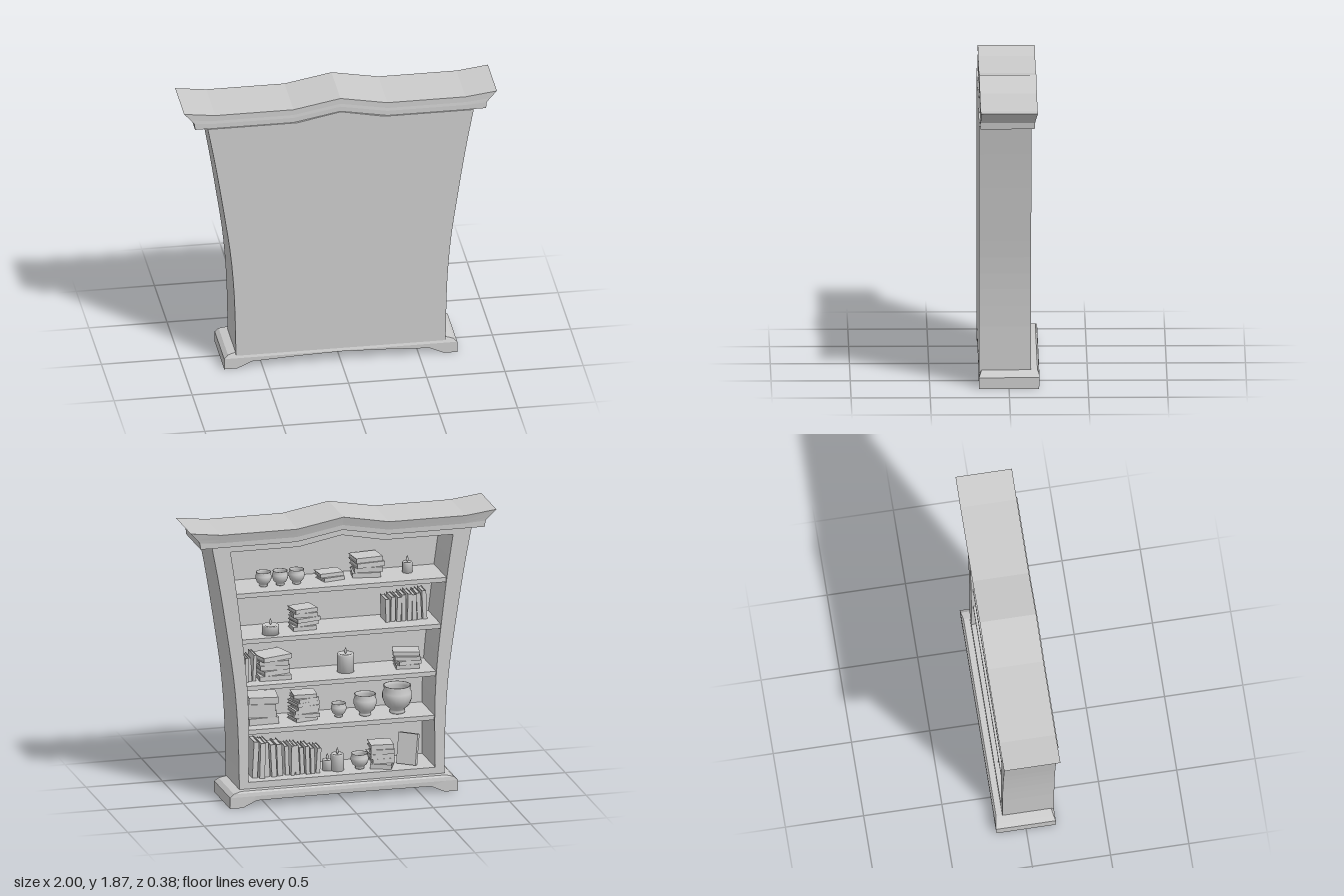
import * as THREE from 'three';

const mat = new THREE.MeshStandardMaterial({ color: 0xcccccc });
const flat = new THREE.MeshStandardMaterial({ color: 0xcccccc, flatShading: true });
const thin = new THREE.MeshStandardMaterial({ color: 0xcccccc, side: THREE.DoubleSide });

let seed = 7;
const rand = () => (seed = (seed * 16807) % 2147483647) / 2147483647;
const jitter = (a) => (rand() * 2 - 1) * a;

function add(parent, name, geometry, material = mat, x = 0, y = 0, z = 0) {
  const m = new THREE.Mesh(geometry, material);
  m.name = name;
  m.position.set(x, y, z);
  parent.add(m);
  return m;
}

function box(parent, name, w, h, d, x, y, z) {
  return add(parent, name, new THREE.BoxGeometry(w, h, d), mat, x, y, z);
}

// Moulding running along x. Each station lists levels from bottom to top:
// [x, y, zBack, zFront, yFront]. Stations are given for x >= 0 and mirrored.
function moulding(half) {
  const mirrored = half.slice().reverse().filter((s) => s[0][0] > 0)
    .map((s) => s.map(([x, ...r]) => [-x, ...r])).reverse();
  const stations = [...mirrored, ...half.slice().reverse()];
  const rings = stations.map((s) => [
    ...s.slice(0, 1).map(([x, y, zb]) => [x, y, zb]),
    ...s.map(([x, y, , zf, yf = y]) => [x, yf, zf]),
    ...s.slice(1).reverse().map(([x, y, zb]) => [x, y, zb]),
  ]);
  rings.sort((a, b) => a[0][0] - b[0][0]);
  const pos = [];
  const quad = (a, b, c, d) => pos.push(...a, ...b, ...c, ...a, ...c, ...d);
  const n = rings[0].length;
  for (let i = 0; i < rings.length - 1; i++) {
    for (let k = 0; k < n; k++) {
      const j = (k + 1) % n;
      quad(rings[i][k], rings[i + 1][k], rings[i + 1][j], rings[i][j]);
    }
  }
  // End caps, one strip per level
  const first = rings[0], last = rings[rings.length - 1];
  for (let l = 0; l < n / 2 - 1; l++) {
    const q = [(n - l) % n, l + 1, l + 2, n - l - 1];
    quad(...q.map((k) => first[k]));
    quad(...q.reverse().map((k) => last[k]));
  }
  const g = new THREE.BufferGeometry();
  g.setAttribute('position', new THREE.Float32BufferAttribute(pos, 3));
  g.computeVertexNormals();
  return g;
}

// Flared side profile of the case
const sideCurve = new THREE.CatmullRomCurve3(
  [[0.67, 0.09], [0.68, 0.5], [0.703, 0.8], [0.745, 1.1], [0.8, 1.45], [0.85, 1.72]]
    .map(([x, y]) => new THREE.Vector3(x, y, 0)));
const side = sideCurve.getPoints(14);
const outerAt = (y) => {
  const i = Math.max(1, side.findIndex((p) => p.y >= y));
  const a = side[i - 1], b = side[i];
  return a.x + (b.x - a.x) * (y - a.y) / (b.y - a.y);
};
const innerAt = (y) => outerAt(y) - 0.055 - 0.035 * y;

// Symmetric outline from right-hand points listed bottom to top
const outline = (pts, peak, Kind) => new Kind([
  ...pts.map(([x, y]) => new THREE.Vector2(x, y)),
  new THREE.Vector2(0.28, pts[pts.length - 1][1]),
  new THREE.Vector2(0, peak),
  new THREE.Vector2(-0.28, pts[pts.length - 1][1]),
  ...pts.slice().reverse().map(([x, y]) => new THREE.Vector2(-x, y)),
]);

// Book with its spine facing -z: thickness t, height h, depth d
function book(t, h, d) {
  const g = new THREE.Group();
  g.name = 'book';
  const c = 0.004;
  for (const s of [-1, 1]) box(g, 'cover', c, h, d, s * (t - c) / 2, h / 2, 0);
  box(g, 'spine', t, h, c, 0, h / 2, -d / 2);
  box(g, 'pages', t - c, h - 0.012, d - 0.01, 0, h / 2, -0.002);
  return g;
}

// Pile of books lying flat
function stack(parent, x, y, z, count, height, w, d, turn = 0) {
  const g = new THREE.Group();
  g.name = 'bookStack';
  g.position.set(x, y, z);
  const t = height / count;
  for (let i = 0; i < count; i++) {
    const h = w * (0.92 + jitter(0.08));
    const b = book(t * 0.96, h, d * (0.94 + jitter(0.06)));
    b.rotation.z = Math.PI / 2;
    b.position.set(h / 2, t / 2, 0);
    const layer = new THREE.Group();
    layer.add(b);
    layer.position.set(jitter(0.008), i * t, jitter(0.008));
    layer.rotation.y = turn + jitter(0.25);
    g.add(layer);
  }
  parent.add(g);
}

// Row of standing books between two x positions
function row(parent, x0, x1, y, z, count, h0, h1, d) {
  const step = (x1 - x0) / count;
  for (let i = 0; i < count; i++) {
    const f = count > 1 ? i / (count - 1) : 0;
    const b = book(Math.abs(step) * 0.8, h0 + (h1 - h0) * f + jitter(0.012), d + jitter(0.012));
    b.position.set(x0 + step * (i + 0.5), y + 0.002, z + jitter(0.012));
    b.rotation.z = jitter(0.06);
    parent.add(b);
  }
}

const lathe = (pts, k, h, seg) => new THREE.LatheGeometry(
  pts.map(([r, y]) => new THREE.Vector2(r * k, y * h)), seg);

function bowl(parent, x, y, z, r, h) {
  const pts = [[0, 0], [0.5, 0], [0.52, 0.08], [0.45, 0.13], [0.8, 0.3], [0.98, 0.55], [0.97, 0.74],
    [0.86, 0.88], [0.92, 1], [0.84, 1], [0.78, 0.88], [0.87, 0.72], [0.85, 0.55], [0.65, 0.33], [0, 0.22]];
  add(parent, 'bowl', lathe(pts, r, h, 20), thin, x, y, z);
}

function candle(parent, x, y, z, r, h) {
  add(parent, 'candle', lathe([[0, 0], [1, 0], [1, 0.92], [0.93, 1], [0.75, 1], [0.6, 0.94], [0, 0.93]], r, h, 16),
    thin, x, y, z);
  add(parent, 'flame', lathe([[0, 0], [0.7, 0.2], [1, 0.4], [0.6, 0.7], [0, 1]], 0.01, 0.045, 8),
    mat, x, y + h * 0.95, z);
}

export function createModel() {
  const model = new THREE.Group();
  model.name = 'bookcase';

  // Case frame, open towards -z, closed by a panel at +z
  const outer = side.map((p) => [p.x, p.y]);
  const frame = outline(outer, 1.775, THREE.Shape);
  const inner = [];
  for (let i = 0; i <= 10; i++) {
    const y = 0.15 + 0.153 * i;
    inner.push([innerAt(y), y]);
  }
  frame.holes.push(outline(inner, 1.735, THREE.Path));
  add(model, 'caseFrame', new THREE.ExtrudeGeometry(frame, { depth: 0.31, bevelEnabled: false }), flat, 0, 0, -0.14);
  add(model, 'backPanel', new THREE.ExtrudeGeometry(outline(outer, 1.775, THREE.Shape),
    { depth: 0.02, bevelEnabled: false }), flat, 0, 0, 0.17);

  // Peaked crown with flared ends
  const crown = [[0.93, 0.935, 0.955, 1, 1.72, 1.835], [0.8, 0.8, 0.8, 0.8, 1.72, 1.81],
    [0.3, 0.3, 0.3, 0.3, 1.72, 1.81], [0, 0, 0, 0, 1.775, 1.865]]
    .map(([a, b, c, d, y0, y1]) => [
      [a, y0, -0.16, 0.182], [b, y0 + (y1 - y0) * 0.36, -0.162, 0.182],
      [c, y0 + (y1 - y0) * 0.58, -0.168, 0.18], [d, y1, -0.18, 0.18]]);
  add(model, 'crown', moulding(crown));

  // Footed base with an arched front edge
  const base = [[0.745, 0.745, 0.72, 0.67, 0], [0.66, 0.66, 0.65, 0.62, 0],
    [0.57, 0.57, 0.57, 0.56, 0.042], [0.28, 0.28, 0.28, 0.28, 0.044, 0.057], [0, 0, 0, 0, 0.045, 0.066]]
    .map(([a, b, c, d, y, yf = y]) => [
      [a, y, -0.19, 0.19, yf], [b, 0.072, -0.193, 0.19],
      [c, 0.095, -0.19, 0.18], [d, 0.107, -0.18, 0.172]]);
  add(model, 'base', moulding(base));

  // Shelves
  const [s1, s2, s3, s4, s5] = [0.15, 0.49, 0.78, 1.09, 1.395];
  for (const y of [s2, s3, s4, s5]) {
    box(model, 'shelf', 2 * (innerAt(y) + 0.02), 0.03, 0.3, 0, y - 0.015, 0.022);
  }

  // Top shelf
  [0.475, 0.366, 0.258].forEach((x) => bowl(model, x, s5, 0, 0.052, 0.095));
  stack(model, 0.03, s5, 0.05, 2, 0.05, 0.17, 0.12, 0.1);
  stack(model, -0.216, s5, 0.07, 4, 0.13, 0.19, 0.14, -0.1);
  candle(model, -0.48, s5, 0.05, 0.032, 0.07);

  // Fourth shelf
  candle(model, 0.44, s4, -0.04, 0.055, 0.06);
  stack(model, 0.21, s4, 0.025, 5, 0.14, 0.17, 0.13, 0.2);
  row(model, -0.32, -0.6, s4, 0.06, 8, 0.16, 0.18, 0.13);

  // Third shelf
  row(model, 0.61, 0.53, s3, 0.03, 3, 0.17, 0.16, 0.13);
  stack(model, 0.41, s3, 0.04, 5, 0.16, 0.21, 0.17, 0.1);
  candle(model, -0.07, s3, 0.027, 0.055, 0.12);
  stack(model, -0.47, s3, 0.03, 4, 0.11, 0.17, 0.13);

  // Second shelf
  stack(model, 0.475, s2, 0.04, 4, 0.18, 0.2, 0.17, -0.1);
  stack(model, 0.206, s2, 0.018, 7, 0.18, 0.17, 0.14, 0.15);
  bowl(model, -0.02, s2, 0.01, 0.05, 0.09);
  bowl(model, -0.19, s2, 0, 0.075, 0.14);
  bowl(model, -0.4, s2, 0, 0.097, 0.18);

  // Bottom shelf
  row(model, 0.57, 0.36, s1, 0, 5, 0.23, 0.22, 0.14);
  row(model, 0.35, 0.12, s1, 0, 7, 0.2, 0.16, 0.13);
  candle(model, 0.06, s1, -0.01, 0.033, 0.07);
  candle(model, 0, s1, -0.03, 0.042, 0.11);
  bowl(model, -0.146, s1, -0.03, 0.058, 0.1);
  stack(model, -0.29, s1, -0.02, 5, 0.16, 0.16, 0.14, -0.15);
  const leaning = book(0.03, 0.2, 0.13);
  leaning.position.set(-0.45, s1 + 0.004, -0.04);
  leaning.rotation.set(0, 0.9, 0.2);
  model.add(leaning);

  return model;
}
